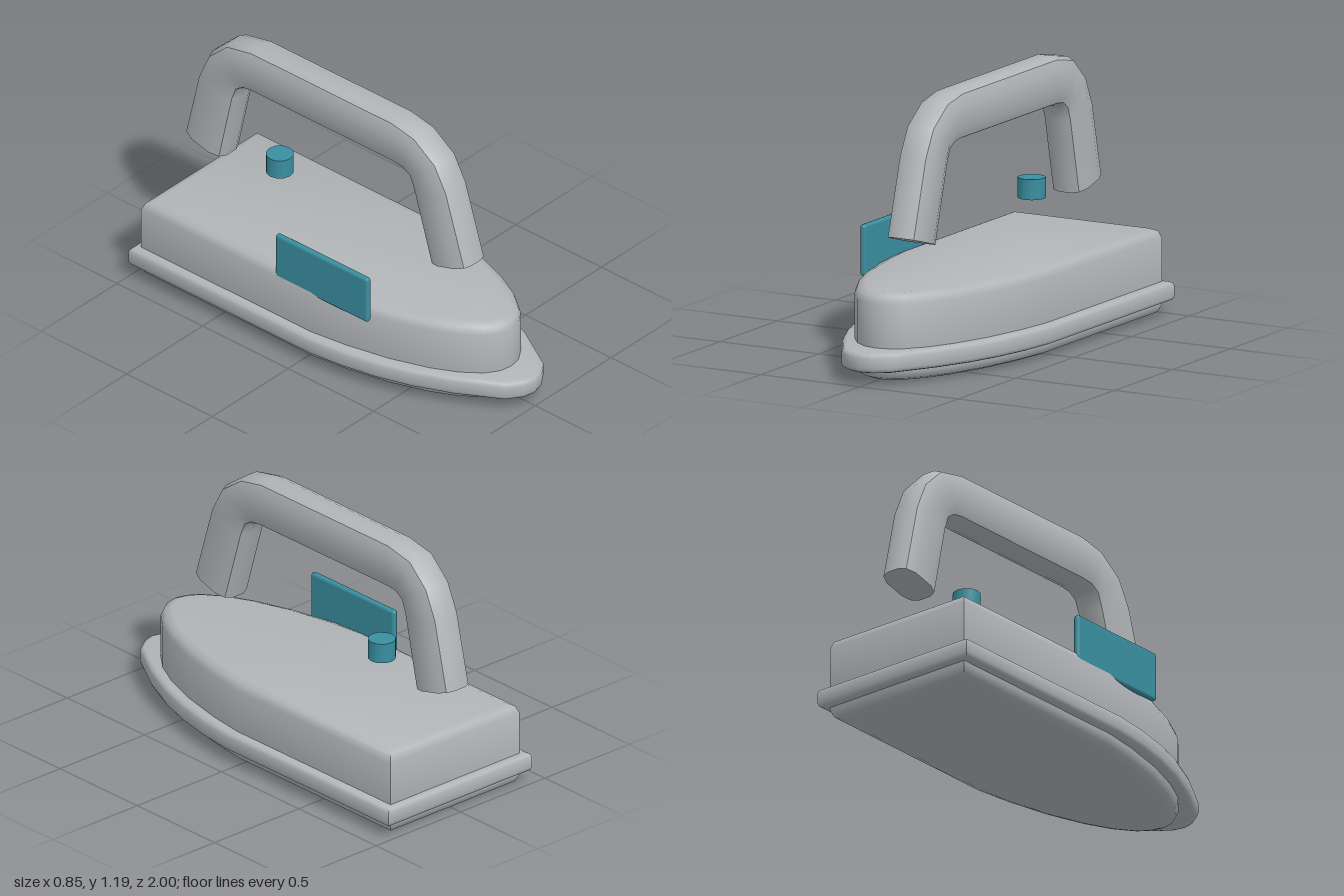
import * as THREE from 'three';
import { toCreasedNormals } from 'three/addons/utils/BufferGeometryUtils.js';
import { RoundedBoxGeometry } from 'three/addons/geometries/RoundedBoxGeometry.js';

// Half outlines of the iron as [x, z], from the back corner to the tip
const BODY = [[0.382, -0.965], [0.382, 0.03], [0.358, 0.21], [0.312, 0.42], [0.25, 0.6],
  [0.19, 0.72], [0.12, 0.81], [0.06, 0.85], [0, 0.862]];
const FLANGE = [[0.425, -1], [0.425, 0.06], [0.405, 0.23], [0.37, 0.4], [0.32, 0.56],
  [0.243, 0.735], [0.127, 0.937], [0.06, 0.985], [0, 1]];

// Handle stations as [outer z, outer y, inner z, inner y], front to back
const HANDLE = [
  [0.657, 0.6, 0.439, 0.536], [0.55, 0.947, 0.337, 0.88], [0.481, 1.07, 0.315, 0.936],
  [0.353, 1.16, 0.278, 0.957], [0.22, 1.187, 0.22, 0.962], [-0.6, 1.187, -0.6, 0.962],
  [-0.749, 1.157, -0.645, 0.957], [-0.86, 1.053, -0.68, 0.936], [-0.92, 0.92, -0.7, 0.88],
  [-0.996, 0.596, -0.775, 0.54]];

// Bevelled slab standing between two heights
function slab(half, y0, y1, bevel) {
  const mirrored = half.slice(0, -1).reverse().map(([x, z]) => [-x, z]);
  const outline = [...half, ...mirrored].map(([x, z]) => new THREE.Vector2(x, -z));
  const geometry = new THREE.ExtrudeGeometry(new THREE.Shape(outline), {
    depth: y1 - y0 - 2 * bevel, bevelEnabled: true, bevelThickness: bevel,
    bevelSize: bevel, bevelOffset: -bevel, bevelSegments: 2,
  });
  geometry.rotateX(-Math.PI / 2).translate(0, y0 + bevel, 0);
  return toCreasedNormals(geometry, 0.9);
}

// Loft of a twelve-sided section through the handle stations, with end caps
function handleGeometry() {
  const quarter = [[0.03, 1], [0.065, 0.86], [0.083, 0.45]];
  const right = [...quarter, ...quarter.map(([x, t]) => [x, -t]).reverse()];
  const section = [...right, ...right.map(([x, t]) => [-x, -t])];
  const n = section.length;
  const positions = [];
  const index = [];
  for (const [oz, oy, iz, iy] of HANDLE) {
    for (const [x, t] of section) {
      const k = (1 - t) / 2;
      positions.push(x, oy + (iy - oy) * k, oz + (iz - oz) * k);
    }
  }
  const last = (HANDLE.length - 1) * n;
  for (let s = 0; s < last; s += n) {
    for (let i = 0; i < n; i++) {
      const a = s + i, b = s + (i + 1) % n;
      index.push(a, b + n, b, a, a + n, b + n);
    }
  }
  for (let i = 1; i < n - 1; i++) {
    index.push(0, i, i + 1, last, last + i + 1, last + i);
  }
  // The section runs clockwise seen from the front, so flip every face outwards
  for (let i = 0; i < index.length; i += 3) {
    [index[i + 1], index[i + 2]] = [index[i + 2], index[i + 1]];
  }
  const geometry = new THREE.BufferGeometry();
  geometry.setAttribute('position', new THREE.Float32BufferAttribute(positions, 3));
  geometry.setIndex(index);
  return toCreasedNormals(geometry, 0.7);
}

export function createModel() {
  const model = new THREE.Group();
  model.name = 'iron';
  const grey = new THREE.MeshStandardMaterial({ color: 0xb2b5b8 });
  grey.name = 'grey';
  const teal = new THREE.MeshStandardMaterial({ color: 0x3a8fa1 });
  teal.name = 'teal';

  const add = (name, geometry, material, x = 0, y = 0, z = 0) => {
    const mesh = new THREE.Mesh(geometry, material);
    mesh.name = name;
    mesh.position.set(x, y, z);
    model.add(mesh);
  };

  // Body with the wider rim around it
  add('body', slab(BODY, 0, 0.39, 0.045), grey);
  add('rim', slab(FLANGE, 0.06, 0.148, 0.02), grey);

  // Arched handle floating above the body
  add('handle', handleGeometry(), grey);

  // Button under the handle and the plate on the right side
  add('button', toCreasedNormals(new THREE.CylinderGeometry(0.062, 0.062, 0.092, 12), 0.7),
    teal, 0, 0.616, -0.492);
  add('sidePlate', new RoundedBoxGeometry(0.03, 0.23, 0.54, 2, 0.0145), teal, -0.364, 0.45, 0.085);
  return model;
}
